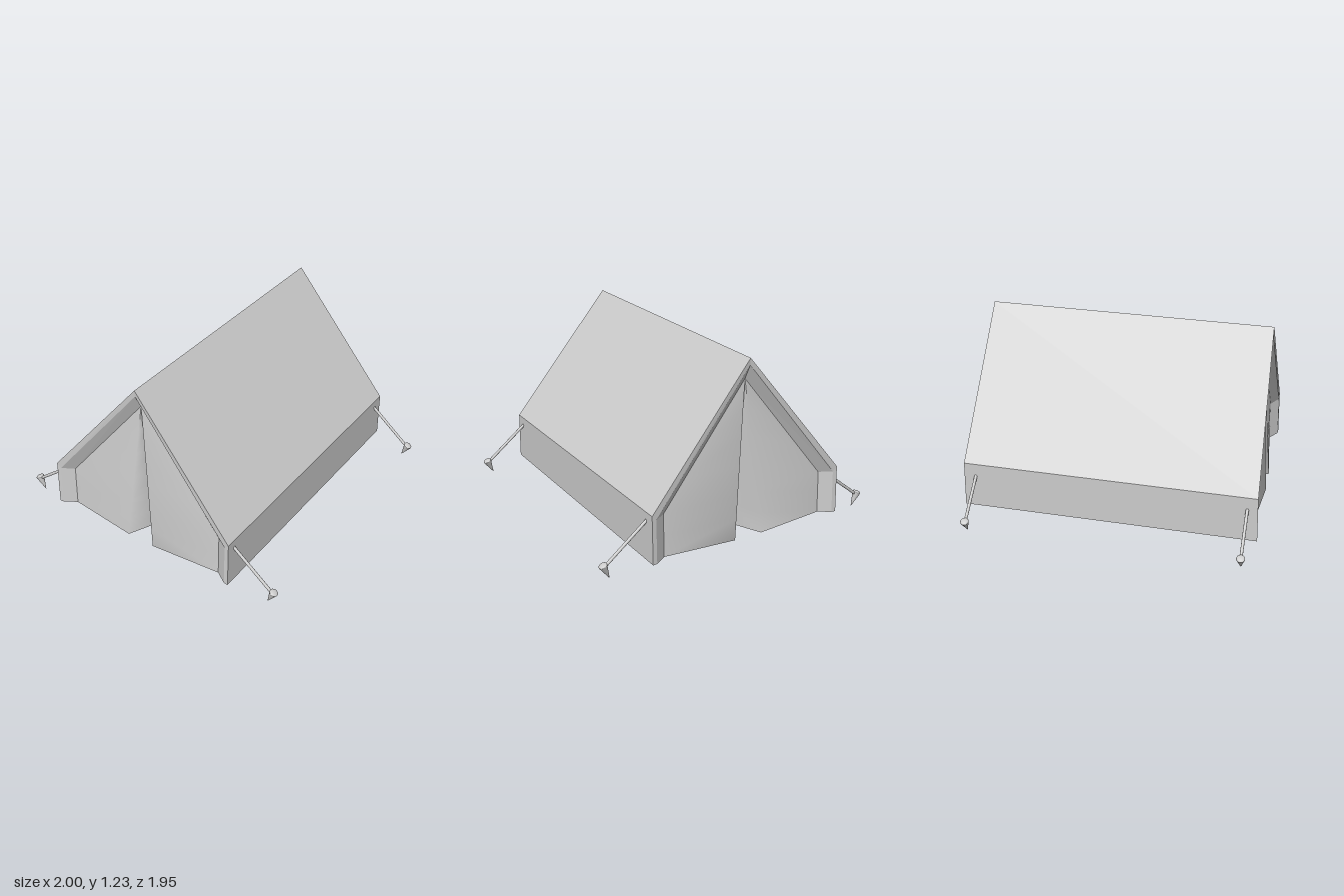
import * as THREE from 'three';

const fabric = new THREE.MeshStandardMaterial({ color: 0xcccccc, side: THREE.DoubleSide });
const solid = new THREE.MeshStandardMaterial({ color: 0xcccccc });

const BASE = 0.05;

function named(geometry, material, name) {
  const mesh = new THREE.Mesh(geometry, material);
  mesh.name = name;
  return mesh;
}

// Surface through rows of points; smooth rows share their vertices
function loft(rows, smooth) {
  const n = rows[0].length;
  const index = [];
  for (let r = 0; r < rows.length - 1; r++) {
    for (let i = 0; i < n - 1; i++) {
      const a = r * n + i;
      index.push(a, a + n, a + 1, a + 1, a + n, a + n + 1);
    }
  }
  let g = new THREE.BufferGeometry();
  g.setAttribute('position', new THREE.Float32BufferAttribute(rows.flat(2), 3));
  g.setIndex(index);
  if (!smooth) g = g.toNonIndexed();
  g.computeVertexNormals();
  return g;
}

// House-shaped outline: wall foot, eave, ridge, eave, wall foot
function outline(halfWidth, eave, ridge, zFoot, zRidge) {
  const zEave = THREE.MathUtils.mapLinear(eave, BASE, ridge, zFoot, zRidge);
  return [
    [-halfWidth, BASE, zFoot], [-halfWidth, eave, zEave], [0, ridge, zRidge],
    [halfWidth, eave, zEave], [halfWidth, BASE, zFoot],
  ];
}

const OUTER = outline(0.7, 0.37, 1.225, 0.975, 0.938);
const RIM = outline(0.67, 0.34, 1.18, 0.972, 0.935);
const FRAME = outline(0.59, 0.335, 1.08, 0.92, 0.885);

// One door flap: slopes forward to a fold, then tucks back to the centre
function flapGeometry(side) {
  const rows = [1.08, 0.9, 0.72, 0.53, 0.335, 0.19, BASE].map((y) => {
    const s = (1.08 - y) / (1.08 - BASE);
    const edge = 0.59 * Math.min(1, (1.08 - y) / 0.745);
    return [
      [side * edge, y, 0.885 + 0.035 * s],
      [side * 0.1 * s, y, 0.885 + 0.082 * s],
      [0, y, 0.885 - 0.13 * s],
    ];
  });
  return loft(rows, true);
}

// Rim, recessed frame and two flaps closing one end of the tent
function tentEnd(name) {
  const end = new THREE.Group();
  end.name = name;
  end.add(named(loft([OUTER, RIM]), fabric, 'rim'));
  end.add(named(loft([RIM, FRAME]), fabric, 'doorFrame'));
  end.add(named(flapGeometry(1), fabric, 'leftFlap'));
  end.add(named(flapGeometry(-1), fabric, 'rightFlap'));
  return end;
}

// Floor follows the folds of the flaps at both ends
function floorGeometry() {
  const half = [
    [0.7, 0.975], [0.67, 0.972], [0.59, 0.92], [0.1, 0.967], [0, 0.755],
    [-0.1, 0.967], [-0.59, 0.92], [-0.67, 0.972], [-0.7, 0.975],
  ];
  const points = [...half, ...half.map(([x, z]) => [-x, -z])];
  const shape = new THREE.Shape(points.map(([x, z]) => new THREE.Vector2(x, z)));
  return new THREE.ShapeGeometry(shape).rotateX(Math.PI / 2).translate(0, BASE, 0);
}

// Rod or cone between two points
function rod(from, to, rFrom, rTo, name) {
  const a = new THREE.Vector3(...from);
  const b = new THREE.Vector3(...to);
  const dir = b.clone().sub(a);
  const mesh = named(new THREE.CylinderGeometry(rTo, rFrom, dir.length(), 12), solid, name);
  mesh.position.copy(a).add(b).multiplyScalar(0.5);
  mesh.quaternion.setFromUnitVectors(new THREE.Vector3(0, 1, 0), dir.normalize());
  return mesh;
}

export function createModel() {
  const model = new THREE.Group();
  model.name = 'tent';

  const body = new THREE.Group();
  body.name = 'tentBody';
  body.position.x = -0.02;
  const backOutline = OUTER.map(([x, y, z]) => [x, y, -z]);
  body.add(named(loft([backOutline, OUTER]), fabric, 'roofAndWalls'));
  body.add(named(floorGeometry(), fabric, 'floor'));
  const back = tentEnd('backEnd');
  back.rotation.y = Math.PI;
  body.add(tentEnd('frontEnd'), back);
  model.add(body);

  // Guy lines with pegs leaning away from the tent
  for (const side of [-1, 1]) {
    for (const z of [-0.89, 0.9]) {
      const guy = new THREE.Group();
      guy.name = 'guyLine';
      guy.add(rod([side * 0.66, 0.325, z], [side * 0.96, 0.085, z], 0.01, 0.01, 'rope'));
      guy.add(rod([side * 0.974, 0.092, z], [side * 0.932, 0, z], 0.028, 0.001, 'peg'));
      const head = named(new THREE.SphereGeometry(0.028, 12, 6, 0, Math.PI * 2, 0, Math.PI / 2), solid, 'pegHead');
      head.scale.y = 0.4;
      head.rotation.z = -side * Math.atan2(0.042, 0.092);
      head.position.set(side * 0.974, 0.092, z);
      guy.add(head);
      model.add(guy);
    }
  }
  return model;
}
